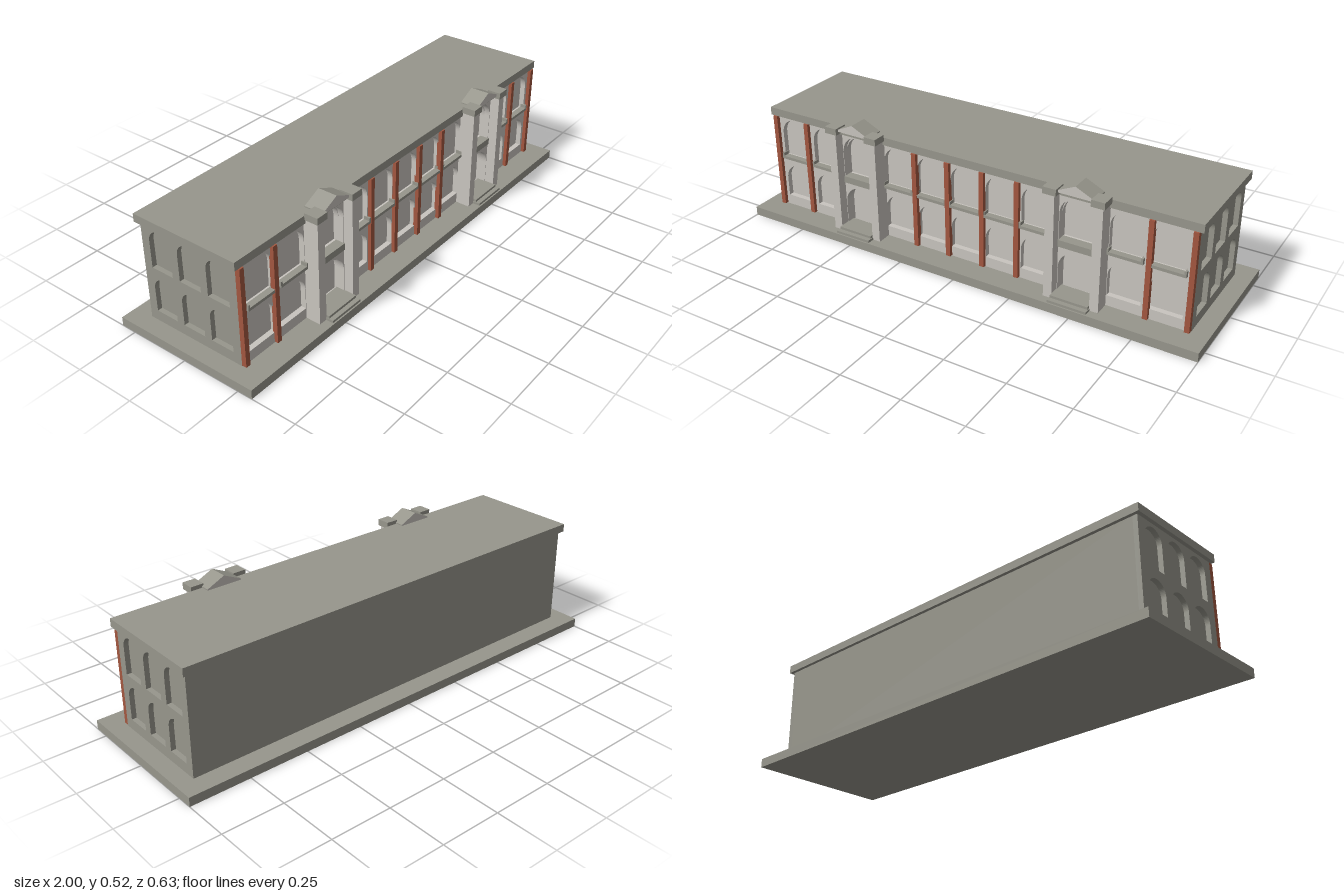
import * as THREE from 'three';

const material = (name, color) => {
  const m = new THREE.MeshStandardMaterial({ color });
  m.name = name;
  return m;
};

export function createModel() {
  const grey = material('grey stone', 0x97968c);
  const light = material('pale stone', 0xc9c5bf);
  const brick = material('red brick', 0xa35740);
  const model = new THREE.Group();
  model.name = 'arcadedBuilding';

  const add = (name, geometry, mat, parent = model) => {
    const mesh = new THREE.Mesh(geometry, mat);
    mesh.name = name;
    parent.add(mesh);
    return mesh;
  };
  // Box given by its limits on each axis
  const block = (name, mat, x0, x1, y0, y1, z0, z1, parent) => {
    const g = new THREE.BoxGeometry(x1 - x0, y1 - y0, z1 - z0);
    g.translate((x0 + x1) / 2, (y0 + y1) / 2, (z0 + z1) / 2);
    return add(name, g, mat, parent);
  };
  // Round-headed opening: centre, half width, sill and crown heights
  const arch = ([c, r, y0, y1]) => {
    const p = new THREE.Path();
    p.moveTo(c - r, y0);
    p.lineTo(c + r, y0);
    p.lineTo(c + r, y1 - r);
    p.absarc(c, y1 - r, r, 0, Math.PI, false);
    p.closePath();
    return p;
  };
  // Flat wall pierced by arched openings
  const wall = (x0, x1, y0, y1, depth, openings) => {
    const s = new THREE.Shape();
    s.moveTo(x0, y0);
    s.lineTo(x1, y0);
    s.lineTo(x1, y1);
    s.lineTo(x0, y1);
    s.closePath();
    s.holes = openings.map(arch);
    return new THREE.ExtrudeGeometry(s, { depth, bevelEnabled: false, curveSegments: 16 });
  };

  // Plinth, core and flat roof
  block('plinth', grey, -1, 1, 0, 0.037, -0.313, 0.313);
  block('core', grey, -0.91, 0.91, 0.037, 0.445, -0.232, 0.186);
  block('windowBacking', light, -0.91, 0.91, 0.037, 0.445, 0.186, 0.19);
  block('roof', grey, -0.945, 0.945, 0.445, 0.478, -0.246, 0.221);

  // Front wall with two storeys of arches
  const bays = [-0.829, -0.668, -0.31, -0.155, 0, 0.155, 0.31, 0.668, 0.829];
  const entrances = [-0.487, 0.487];
  const frontOpenings = [
    ...bays.flatMap((x) => [[x, 0.067, 0.08, 0.23], [x, 0.067, 0.267, 0.438]]),
    ...entrances.flatMap((x) => [[x, 0.075, 0.05, 0.226], [x, 0.075, 0.267, 0.442]]),
  ];
  add('frontWall', wall(-0.91, 0.91, 0.037, 0.445, 0.022, frontOpenings), light).position.z = 0.19;

  // Side walls with three arches on each storey
  const sideOpenings = [0.121, -0.012, -0.146].flatMap((z) => [
    [z, 0.05, 0.08, 0.23], [z, 0.05, 0.268, 0.43],
  ]);
  const sideGeometry = wall(-0.232, 0.207, 0.037, 0.445, 0.02, sideOpenings);
  for (const [name, x] of [['leftWall', 0.93], ['rightWall', -0.91]]) {
    const side = add(name, sideGeometry, grey);
    side.rotation.y = -Math.PI / 2;
    side.position.x = x;
  }

  // Brick pilasters
  for (const s of [-1, 1]) {
    for (const x of [0.92, 0.76, 0.228, 0.077]) {
      block('brickPilaster', brick, s * x - 0.01, s * x + 0.01, 0.04, 0.445, 0.207, 0.227);
    }
  }

  // Window ledges with raised ends
  for (const x of bays) {
    block('windowLedge', grey, x - 0.067, x + 0.067, 0.258, 0.27, 0.2, 0.226);
    for (const s of [-1, 1]) {
      block('ledgeEnd', grey, x + s * 0.067 - 0.004, x + s * 0.067 + 0.004, 0.258, 0.283, 0.2, 0.226);
    }
  }

  // Two projecting entrances
  for (const x of entrances) {
    const entrance = new THREE.Group();
    entrance.name = 'entrance';
    entrance.position.x = x;
    model.add(entrance);

    const bayWall = wall(-0.112, 0.112, 0.037, 0.465, 0.025,
      [[0, 0.075, 0.05, 0.226], [0, 0.075, 0.267, 0.45]]);
    add('entranceWall', bayWall, light, entrance).position.z = 0.21;

    for (const s of [-1, 1]) {
      block('pier', light, s * 0.095 - 0.018, s * 0.095 + 0.018, 0.037, 0.465, 0.23, 0.275, entrance);
      block('pierCapital', grey, s * 0.095 - 0.027, s * 0.095 + 0.027, 0.465, 0.492, 0.225, 0.282, entrance);
    }
    block('balconySlab', grey, -0.077, 0.077, 0.24, 0.268, 0.2, 0.24, entrance);
    block('lintel', grey, -0.077, 0.077, 0.458, 0.478, 0.222, 0.25, entrance);
    block('lowerStep', grey, -0.08, 0.08, 0.037, 0.047, 0.2, 0.307, entrance);
    block('upperStep', grey, -0.077, 0.077, 0.047, 0.057, 0.2, 0.288, entrance);

    // Gabled pediment, pale face and grey slopes
    const gable = new THREE.Shape();
    gable.moveTo(-0.075, 0.476);
    gable.lineTo(0.075, 0.476);
    gable.lineTo(0.075, 0.482);
    gable.lineTo(0, 0.517);
    gable.lineTo(-0.075, 0.482);
    gable.closePath();
    const g = new THREE.ExtrudeGeometry(gable, { depth: 0.08, bevelEnabled: false });
    add('pediment', g, [light, grey], entrance).position.z = 0.187;
  }
  return model;
}
